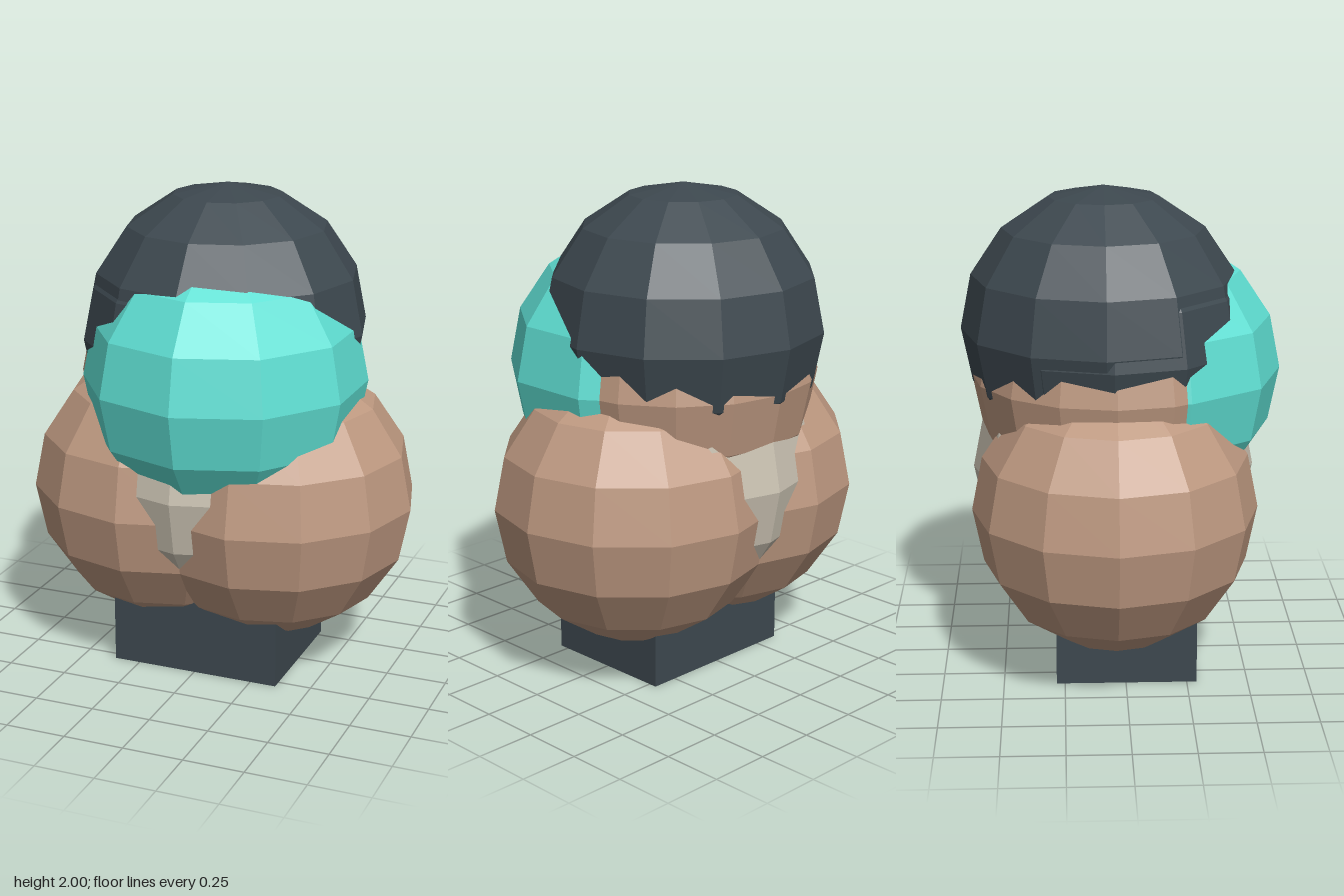
import * as THREE from 'three';

const R = 0.58; // shared radius of the faceted balls

export function createModel() {
  const group = new THREE.Group();
  const material = (color) => new THREE.MeshStandardMaterial({ color, flatShading: true });
  const dark = material(0x3d484f);
  const skin = material(0xbd9880);
  const teal = material(0x5fdfd3);
  const cream = material(0xc9c1b1);

  // Low-poly ball, turned about y when its facets are not aligned with x
  const ball = (name, mat, x, y, z, sides = 12, radius = R, turn = 0) => {
    const mesh = new THREE.Mesh(new THREE.SphereGeometry(radius, sides, 8), mat);
    mesh.name = name;
    mesh.position.set(x, y, z);
    mesh.rotation.y = turn;
    group.add(mesh);
  };

  // Dark cap over the head, with a slightly lower lock on the right side
  ball('hair', dark, 0, 1.42, -0.08);
  ball('hairSideLock', dark, -0.02, 1.37, -0.05, 12, 0.56);

  // Head and the teal front bulging from it
  ball('head', skin, 0, 1.23, -0.04, 16);
  ball('face', teal, 0.05, 1.23, 0.07, 10, R, Math.PI / 2);

  // Body: cream core wedged between two large lobes
  ball('bodyCore', cream, 0, 0.83, -0.04);
  for (const [name, side] of [['leftLobe', 1], ['rightLobe', -1]]) {
    ball(name, skin, side * 0.235, 0.72, -0.04);
  }

  // Square base, its top buried in the lobes
  const base = new THREE.Mesh(new THREE.BoxGeometry(0.72, 0.56, 0.575), dark);
  base.name = 'base';
  base.position.set(0, 0.28, 0.003);
  group.add(base);

  return group;
}
